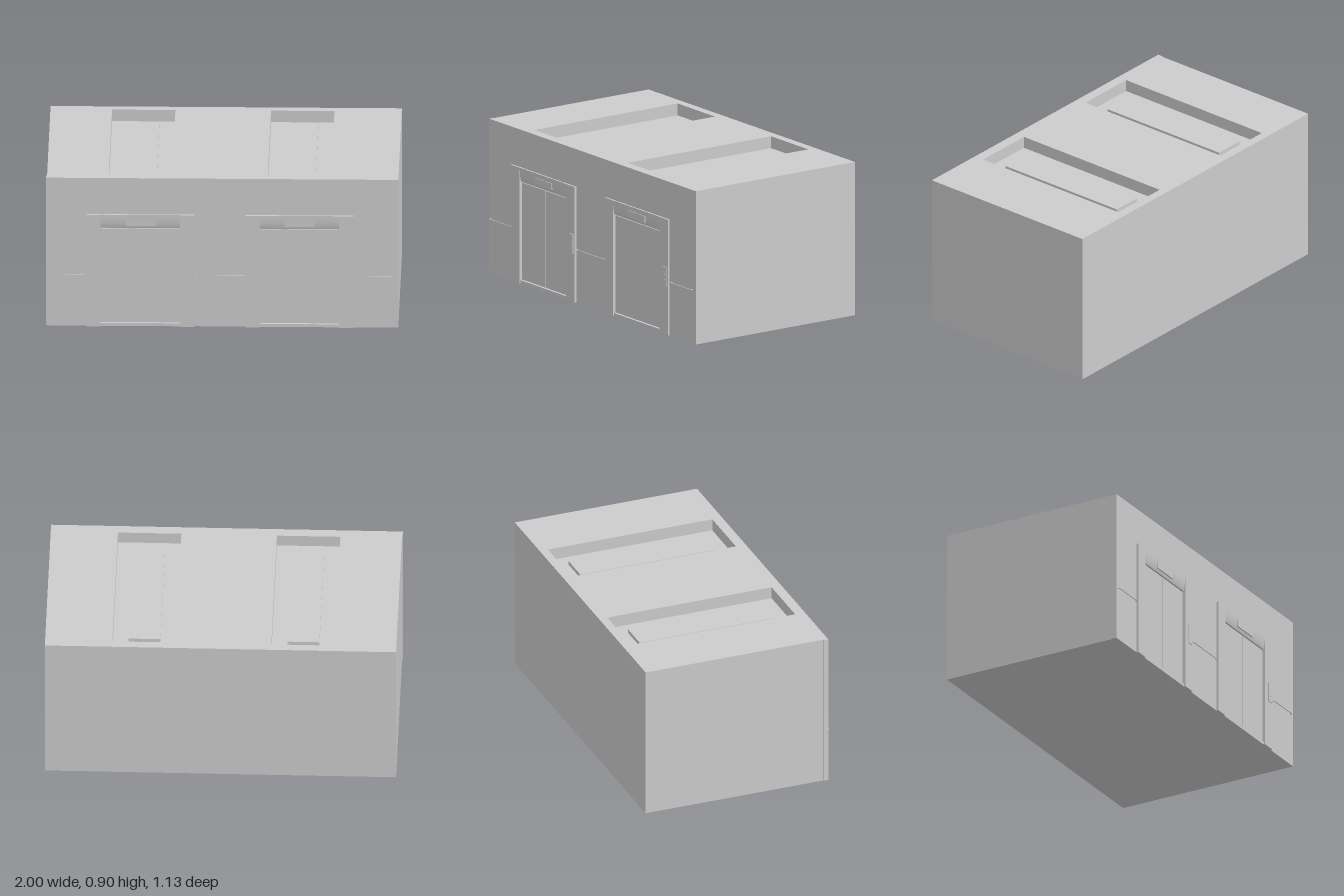
import * as THREE from 'three';

const mat = new THREE.MeshStandardMaterial({ color: 0xcccccc });
const BACK = -0.565, FRONT = 0.55, JOINT = 0.52; // main z planes
const HEIGHT = 0.9, FLOOR = 0.83;                // roof and recess floor heights
const BAYS = [-0.465, 0.438];                    // door centre lines

function add(parent, name, geometry) {
  const mesh = new THREE.Mesh(geometry, mat);
  mesh.name = name;
  parent.add(mesh);
  return mesh;
}

// Box given by its limits on each axis
function block(parent, name, x0, x1, y0, y1, z0, z1) {
  const mesh = add(parent, name, new THREE.BoxGeometry(x1 - x0, y1 - y0, z1 - z0));
  mesh.position.set((x0 + x1) / 2, (y0 + y1) / 2, (z0 + z1) / 2);
  return mesh;
}

function rect(Type, x0, x1, y0, y1) {
  return new Type([[x0, y0], [x1, y0], [x1, y1], [x0, y1]].map(p => new THREE.Vector2(...p)));
}

// Flat slab with rectangular openings
function slab(outline, holes, depth) {
  const shape = rect(THREE.Shape, ...outline);
  holes.forEach(h => shape.holes.push(rect(THREE.Path, ...h)));
  return new THREE.ExtrudeGeometry(shape, { depth, bevelEnabled: false });
}

function elevatorBay(cx) {
  const bay = new THREE.Group();
  bay.name = 'elevatorBay';
  bay.position.x = cx;

  // Sliding doors and sill, set just behind the wall face
  block(bay, 'doorBacking', -0.225, 0.225, 0, 0.6, JOINT - 0.01, 0.538);
  block(bay, 'leftDoor', 0.002, 0.222, 0.022, 0.59, JOINT, 0.545);
  block(bay, 'rightDoor', -0.222, -0.002, 0.022, 0.59, JOINT, 0.545);
  block(bay, 'sill', -0.225, 0.225, 0, 0.018, JOINT, 0.553);

  // Door surround
  block(bay, 'rightJamb', -0.305, -0.225, 0, 0.68, 0.54, 0.562);
  block(bay, 'leftJamb', 0.225, 0.308, 0, 0.68, 0.54, 0.562);

  // Gently bowed header between the jambs
  const profile = new THREE.Shape();
  profile.moveTo(-0.54, 0.597);
  profile.lineTo(-0.54, 0.68);
  profile.lineTo(-0.56, 0.68);
  profile.quadraticCurveTo(-0.56, 0.625, -0.55, 0.597);
  const header = add(bay, 'header',
    new THREE.ExtrudeGeometry(profile, { depth: 0.45, bevelEnabled: false, curveSegments: 8 }));
  header.rotation.y = Math.PI / 2;
  header.position.x = -0.225;

  // Floor indicator and call panel
  block(bay, 'floorIndicator', -0.085, 0.085, 0.615, 0.653, 0.55, 0.563);
  block(bay, 'callPanel', 0.259, 0.296, 0.285, 0.4, 0.56, 0.567);
  for (const y of [0.325, 0.355]) {
    const button = add(bay, 'callButton', new THREE.CylinderGeometry(0.007, 0.007, 0.002, 16));
    button.rotation.x = Math.PI / 2;
    button.position.set(0.278, y, 0.567);
  }
  return bay;
}

// Thin rail with both ends returning to the wall
function handrail(parent, x0, x1) {
  const z = 0.561, path = new THREE.CurvePath();
  const pts = [[x0, FRONT], [x0, z], [x1, z], [x1, FRONT]].map(([x, d]) => new THREE.Vector3(x, 0.315, d));
  for (let i = 0; i < 3; i++) path.add(new THREE.LineCurve3(pts[i], pts[i + 1]));
  for (const [i, c] of path.curves.entries()) {
    add(parent, i === 1 ? 'handrail' : 'handrailBracket', new THREE.TubeGeometry(c, 1, 0.003, 8));
  }
}

export function createModel() {
  const model = new THREE.Group();
  model.name = 'elevatorBlock';

  // Building mass, with a roof slab opened over each shaft
  block(model, 'body', -0.995, 1, 0, FLOOR, BACK, JOINT);
  const wells = BAYS.map(c => [c - 0.18, c + 0.18, -0.49, 0.515]);
  const roof = add(model, 'roof', slab([-0.995, 1, -JOINT, -BACK], wells, HEIGHT - FLOOR));
  roof.rotation.x = -Math.PI / 2;
  roof.position.y = FLOOR;

  // Front wall with door openings
  const openings = BAYS.map(c => [c - 0.225, c + 0.225, 0.0005, 0.6]);
  add(model, 'frontWall', slab([-1, 1, 0, HEIGHT], openings, FRONT - JOINT)).position.z = JOINT;

  for (const c of BAYS) {
    model.add(elevatorBay(c));
    // Raised panel on the recess floor
    block(model, 'roofPanel', c - 0.09, c + 0.09, FLOOR - 0.01, FLOOR + 0.022, -0.425, 0.4);
  }

  handrail(model, -0.98, -0.785);
  handrail(model, -0.144, 0.117);
  handrail(model, 0.77, 0.967);
  return model;
}
